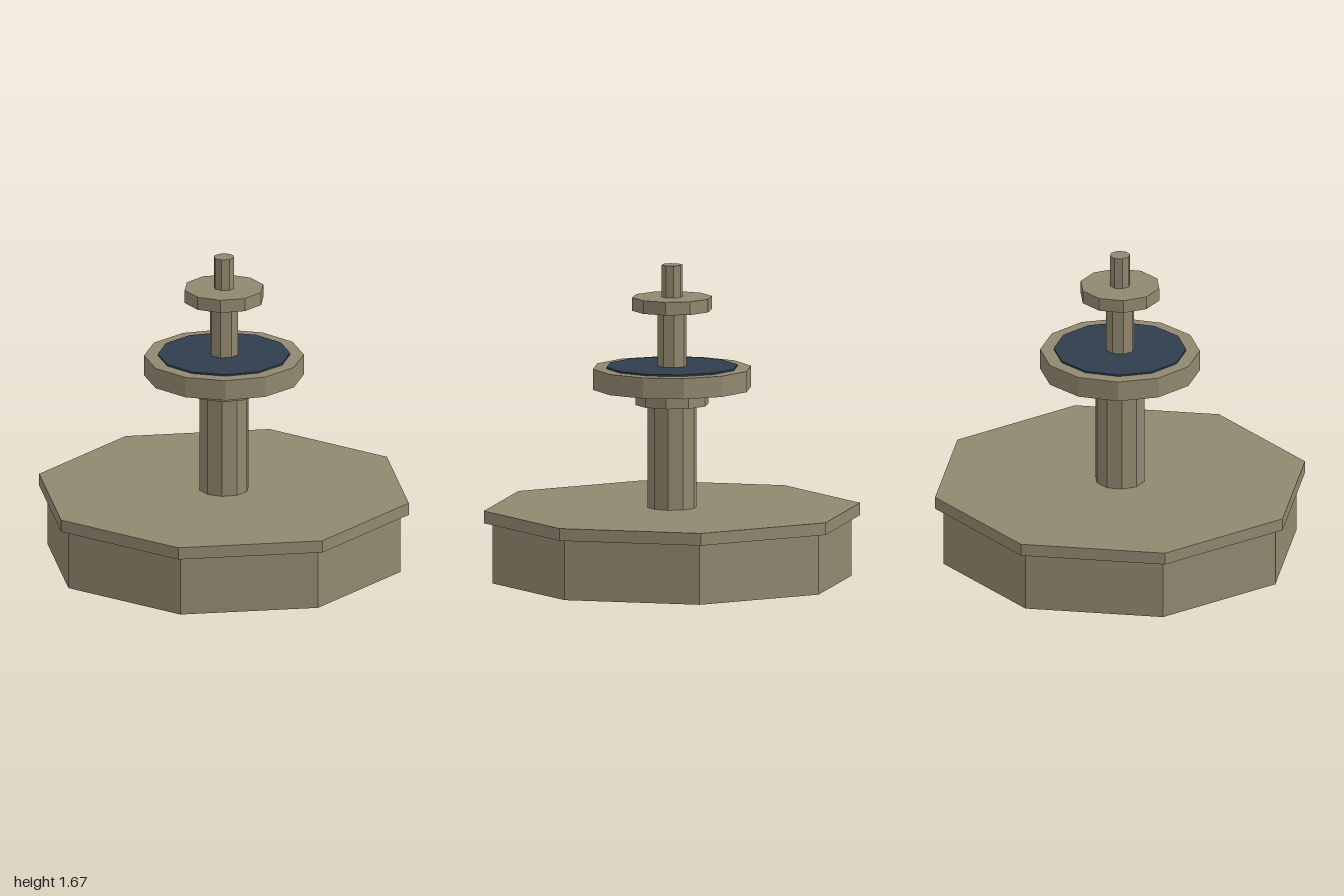
import * as THREE from 'three';

export function createModel() {
  const group = new THREE.Group();
  group.name = 'tieredFountain';

  const stone = new THREE.MeshStandardMaterial({ color: 0x91886f });
  stone.name = 'stone';
  const water = new THREE.MeshStandardMaterial({ color: 0x2e3d4e });
  water.name = 'water';

  // Each tier: name, radius, bottom, top, sides, material
  const tiers = [
    ['basinWall', 0.955, 0, 0.32, 8, stone],
    ['basinRim', 1, 0.32, 0.385, 8, stone],
    ['lowerColumn', 0.131, 0.385, 0.93, 10, stone],
    ['collar', 0.195, 0.93, 1.015, 10, stone],
    ['largeBowl', 0.42, 1.015, 1.125, 12, stone],
    ['waterSurface', 0.348, 1.125, 1.134, 12, water],
    ['upperColumn', 0.077, 1.125, 1.43, 8, stone],
    ['smallBowl', 0.212, 1.43, 1.5, 10, stone],
    ['spout', 0.055, 1.5, 1.67, 8, stone],
  ];

  for (const [name, radius, bottom, top, sides, material] of tiers) {
    // Faceted prism: non-indexed so every side is flat
    const geometry = new THREE.CylinderGeometry(radius, radius, top - bottom, sides).toNonIndexed();
    geometry.computeVertexNormals();
    const mesh = new THREE.Mesh(geometry, material);
    mesh.name = name;
    mesh.position.y = (bottom + top) / 2;
    group.add(mesh);
  }
  return group;
}
